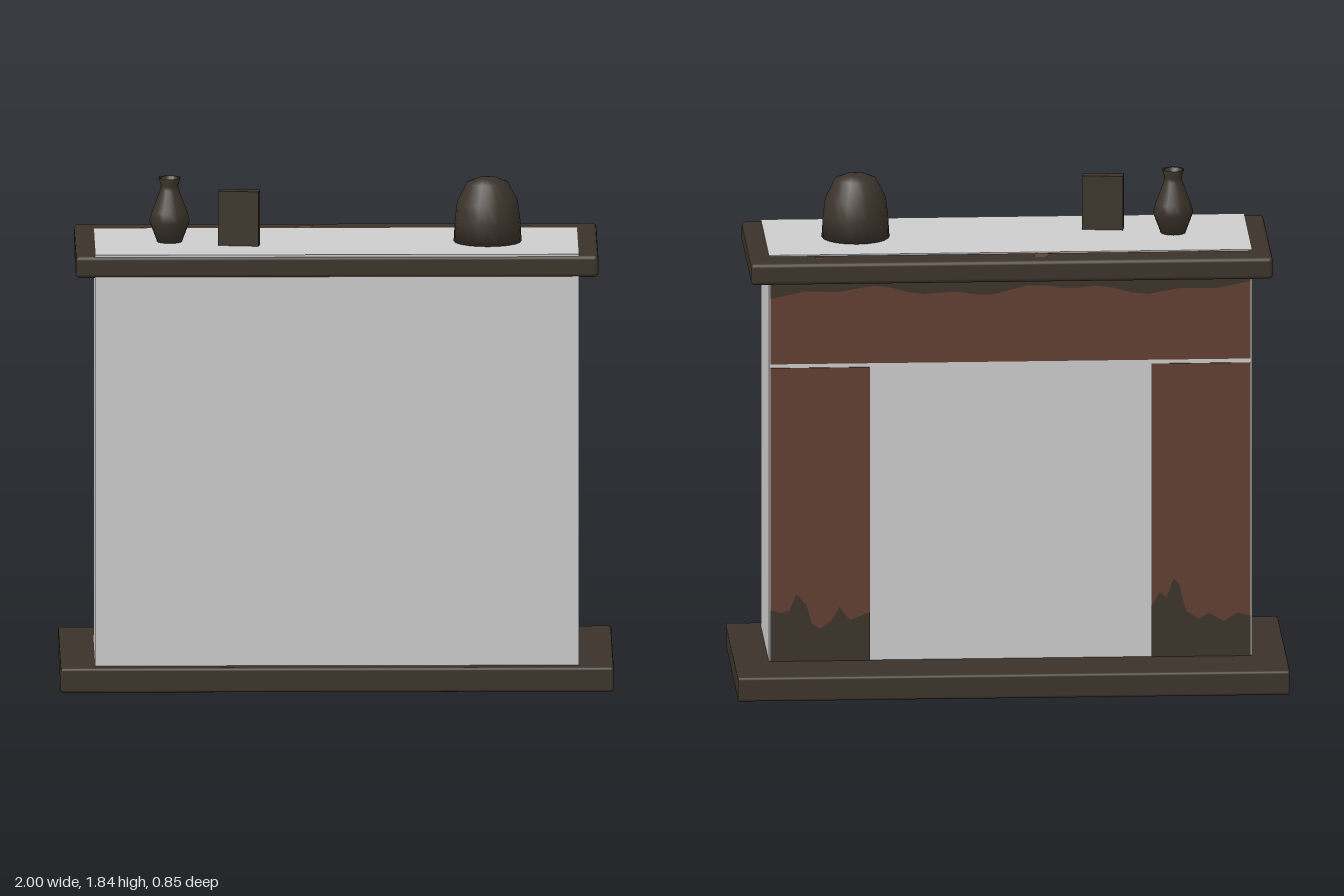
import * as THREE from 'three';
import { RoundedBoxGeometry } from 'three/addons/geometries/RoundedBoxGeometry.js';

export function createModel() {
  const group = new THREE.Group();
  const mat = (name, color) => new THREE.MeshStandardMaterial({ name, color });
  const plaster = mat('pale plaster', 0xcccccc);
  const wood = mat('dark wood', 0x3b332a);
  const brick = mat('red brown paint', 0x633f31);

  const add = (name, geometry, material, x = 0, y = 0, z = 0) => {
    const mesh = new THREE.Mesh(geometry, material);
    mesh.name = name;
    mesh.position.set(x, y, z);
    group.add(mesh);
    return mesh;
  };
  const flat = (points) => new THREE.ShapeGeometry(
    new THREE.Shape(points.map(([x, y]) => new THREE.Vector2(x, y))));

  // Hearth slab, chimney body and mantel shelf
  add('hearthSlab', new RoundedBoxGeometry(2, 0.09, 0.85, 2, 0.01), wood, 0, 0.045, 0);
  add('body', new THREE.BoxGeometry(1.75, 1.51, 0.55), plaster, 0, 0.845, 0.1);
  add('mantelShelf', new RoundedBoxGeometry(1.89, 0.08, 0.67, 2, 0.015), wood, 0, 1.555, 0.045);

  // Painted surround on the back face: frieze and two pilasters
  const backZ = -0.176;
  add('frieze', new THREE.BoxGeometry(1.738, 0.325, 0.006), brick, 0, 1.3575, backZ);
  for (const side of [1, -1]) {
    add(side > 0 ? 'leftPilaster' : 'rightPilaster',
      new THREE.BoxGeometry(0.359, 1.09, 0.006), brick, side * 0.6895, 0.635, backZ);
  }

  // Ragged worn edges on the surround; shapes run along -x, facing the back
  const worn = (name, edge, baseY) => {
    const first = edge[0][0], last = edge[edge.length - 1][0];
    const outline = [[first, baseY], [last, baseY], ...[...edge].reverse()];
    const mesh = add(name, flat(outline), wood, 0, 0, -0.181);
    mesh.rotation.y = Math.PI;
  };
  worn('leftPilasterWear', [
    [-0.869, 0.28], [-0.83, 0.27], [-0.8, 0.28], [-0.775, 0.34], [-0.74, 0.3], [-0.72, 0.23],
    [-0.69, 0.21], [-0.65, 0.24], [-0.62, 0.29], [-0.58, 0.24], [-0.51, 0.27]], 0.09);
  worn('rightPilasterWear', [
    [0.51, 0.28], [0.54, 0.33], [0.565, 0.31], [0.59, 0.38], [0.61, 0.36], [0.635, 0.26],
    [0.68, 0.23], [0.72, 0.25], [0.77, 0.22], [0.82, 0.25], [0.869, 0.24]], 0.09);
  const friezeEdge = [];
  for (let i = 0; i <= 28; i++) {
    const u = -0.869 + 1.738 * i / 28;
    friezeEdge.push([u, 1.462 + 0.014 * Math.sin(u * 9) + 0.009 * Math.sin(u * 23)]);
  }
  worn('friezeWear', friezeEdge, 1.518);

  // Chipped spots along the back of the shelf
  const chips = [
    [[-0.15, 0.19], [-0.09, 0.18], [-0.08, 0.24], [-0.12, 0.24]],
    [[0.68, 0.205], [0.71, 0.205], [0.71, 0.225], [0.68, 0.225]],
    [[-0.74, 0.176], [-0.67, 0.176], [-0.7, 0.195]],
  ];
  chips.forEach((points) => {
    add('shelfChip', flat(points), brick, 0, 1.597, 0).rotation.x = -Math.PI / 2;
  });

  // Ornaments standing on the shelf
  const lathe = (points, segments) => new THREE.LatheGeometry(
    points.map(([r, y]) => new THREE.Vector2(r, y)), segments);
  add('vase', lathe([[0, 0], [0.045, 0], [0.073, 0.075], [0.064, 0.11], [0.034, 0.19],
    [0.031, 0.205], [0.04, 0.235], [0.032, 0.233], [0.022, 0.205], [0, 0.195]], 16),
  wood, -0.603, 1.6, 0.1);

  const frame = add('pictureFrame', new THREE.BoxGeometry(0.148, 0.2, 0.045), wood, -0.353, 1.7, 0.173);
  frame.rotation.y = -0.13;

  add('domeClock', lathe([[0, 0], [0.123, 0], [0.118, 0.08], [0.11, 0.145], [0.075, 0.215],
    [0.035, 0.231], [0, 0.235]], 20), wood, 0.547, 1.6, 0.1);

  return group;
}
